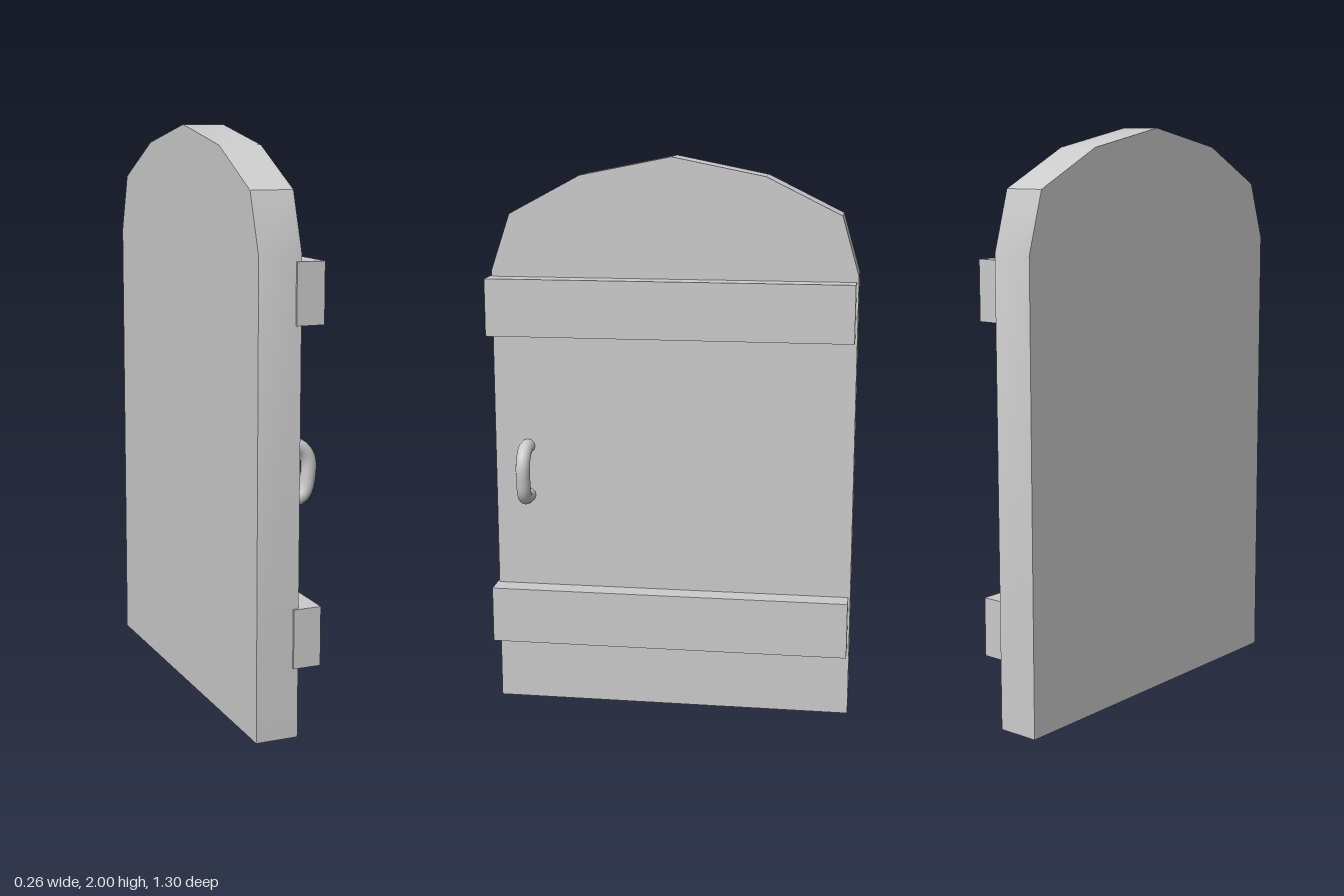
import * as THREE from 'three';
import { toCreasedNormals } from 'three/addons/utils/BufferGeometryUtils.js';

export function createModel() {
  const group = new THREE.Group();
  const material = new THREE.MeshStandardMaterial({ color: 0xcccccc });
  const add = (name, geometry) => {
    const mesh = new THREE.Mesh(geometry, material);
    mesh.name = name;
    group.add(mesh);
    return mesh;
  };

  // Arched slab: outline as (z, y), extruded through the thickness along x
  const outline = [
    [0.643, 0], [0.643, 1.6], [0.575, 1.8], [0.322, 1.935], [0, 2],
    [-0.327, 1.935], [-0.59, 1.805], [-0.65, 1.6], [-0.65, 0],
  ];
  const shape = new THREE.Shape(outline.map(([z, y]) => new THREE.Vector2(-z, y)));
  const slab = new THREE.ExtrudeGeometry(shape, { depth: 0.149, bevelEnabled: false });
  slab.rotateY(Math.PI / 2).translate(-0.134, 0, 0);
  add('doorSlab', toCreasedNormals(slab, Math.PI / 6));

  // Horizontal battens, slightly sunk into the slab
  for (const [name, y] of [['lowerBatten', 0.343], ['upperBatten', 1.478]]) {
    add(name, new THREE.BoxGeometry(0.097, 0.203, 1.293)).position.set(0.044, y, 0.004);
  }

  // Bent pull handle
  const path = [
    [0, 0.966], [0.055, 0.964], [0.085, 0.945], [0.102, 0.91],
    [0.101, 0.86], [0.09, 0.81], [0.07, 0.788], [0, 0.783],
  ].map(([x, y]) => new THREE.Vector3(x, y, 0.524));
  add('handle', new THREE.TubeGeometry(new THREE.CatmullRomCurve3(path), 20, 0.026, 12));

  return group;
}
